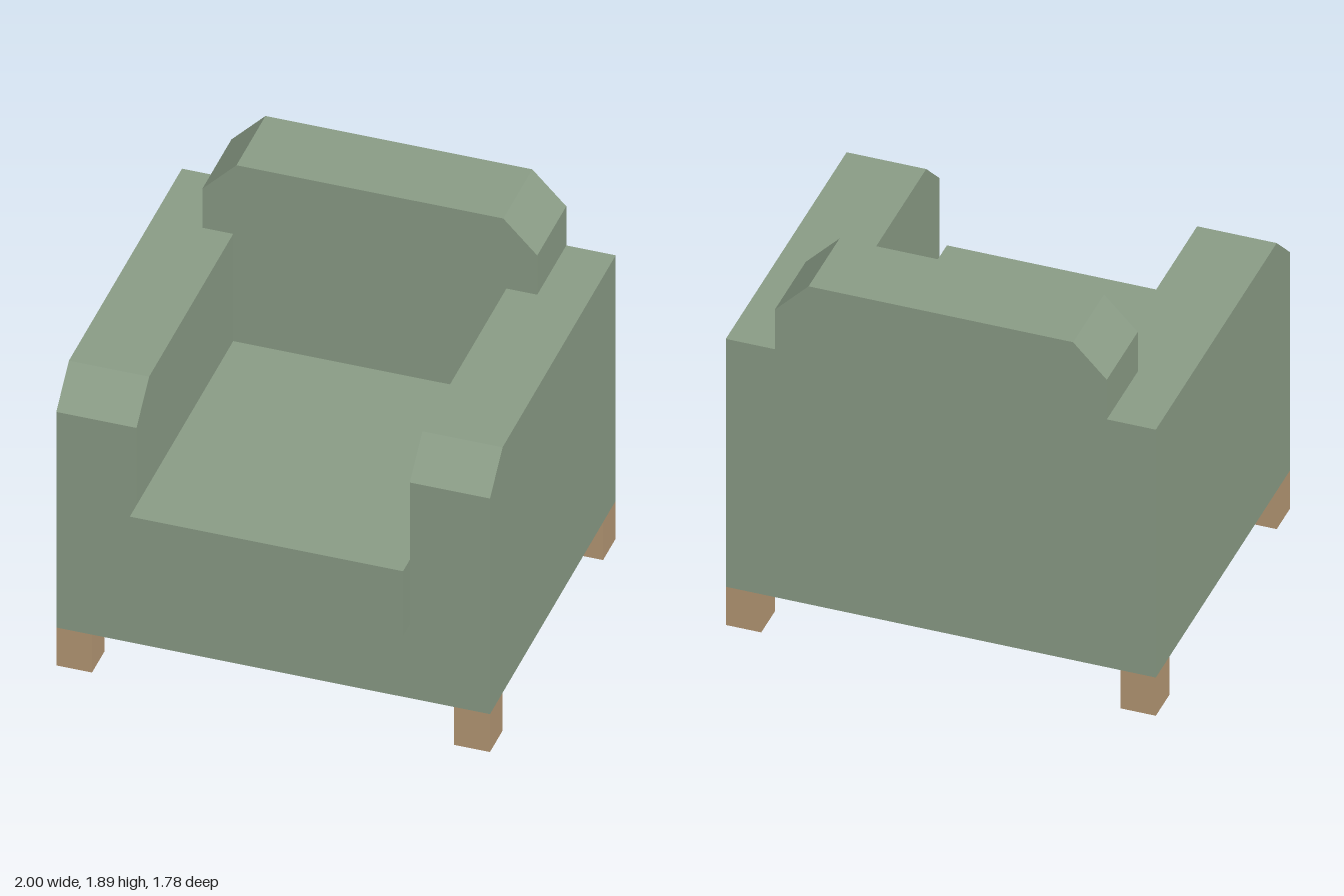
import * as THREE from 'three';

export function createModel() {
  const model = new THREE.Group();
  model.name = 'armchair';

  const fabric = new THREE.MeshStandardMaterial({ color: 0x8a9c86 });
  fabric.name = 'sage fabric';
  const wood = new THREE.MeshStandardMaterial({ color: 0xb59774 });
  wood.name = 'light wood';

  const add = (name, geometry, material) => {
    const mesh = new THREE.Mesh(geometry, material);
    mesh.name = name;
    model.add(mesh);
    return mesh;
  };

  // Box given by its extents on each axis
  const box = (name, [x0, x1], [y0, y1], [z0, z1], material) =>
    add(name, new THREE.BoxGeometry(x1 - x0, y1 - y0, z1 - z0), material)
      .position.set((x0 + x1) / 2, (y0 + y1) / 2, (z0 + z1) / 2);

  // Flat outline extruded to a sharp-edged slab
  const slab = (points, depth) => new THREE.ExtrudeGeometry(
    new THREE.Shape(points.map(([x, y]) => new THREE.Vector2(x, y))),
    { depth, bevelEnabled: false });

  const inner = 0.63, bottom = 0.203, armTop = 1.52, seat = 0.597;
  const back = -0.89, front = 0.8, backFront = -0.5;

  // Base and overhanging seat cushion between the arms
  box('base', [-inner, inner], [bottom, seat], [back, front], fabric);
  box('seatCushion', [-inner, inner], [seat, 0.945], [backFront, 0.89], fabric);

  // Arms: side profile (z, y) with a chamfered front top corner
  const armGeometry = slab([
    [back, bottom], [front, bottom], [front, 1.36], [0.63, armTop], [back, armTop],
  ], 1 - inner).rotateY(-Math.PI / 2);
  add('leftArm', armGeometry, fabric).position.x = 1;
  add('rightArm', armGeometry, fabric).position.x = -inner;

  // Backrest: fits between the arms, then widens over them
  const half = [[inner, seat], [inner, armTop], [0.772, armTop], [0.772, 1.73], [0.615, 1.892]];
  const mirrored = half.map(([x, y]) => [-x, y]).reverse();
  add('backrest', slab([...half, ...mirrored], backFront - back), fabric).position.z = back;

  // Legs, flush with the four corners
  for (const [side, x] of [['left', [0.835, 1]], ['right', [-1, -0.835]]]) {
    box(side + 'FrontLeg', x, [0, bottom], [0.63, front], wood);
    box(side + 'BackLeg', x, [0, bottom], [back, -0.72], wood);
  }

  return model;
}
